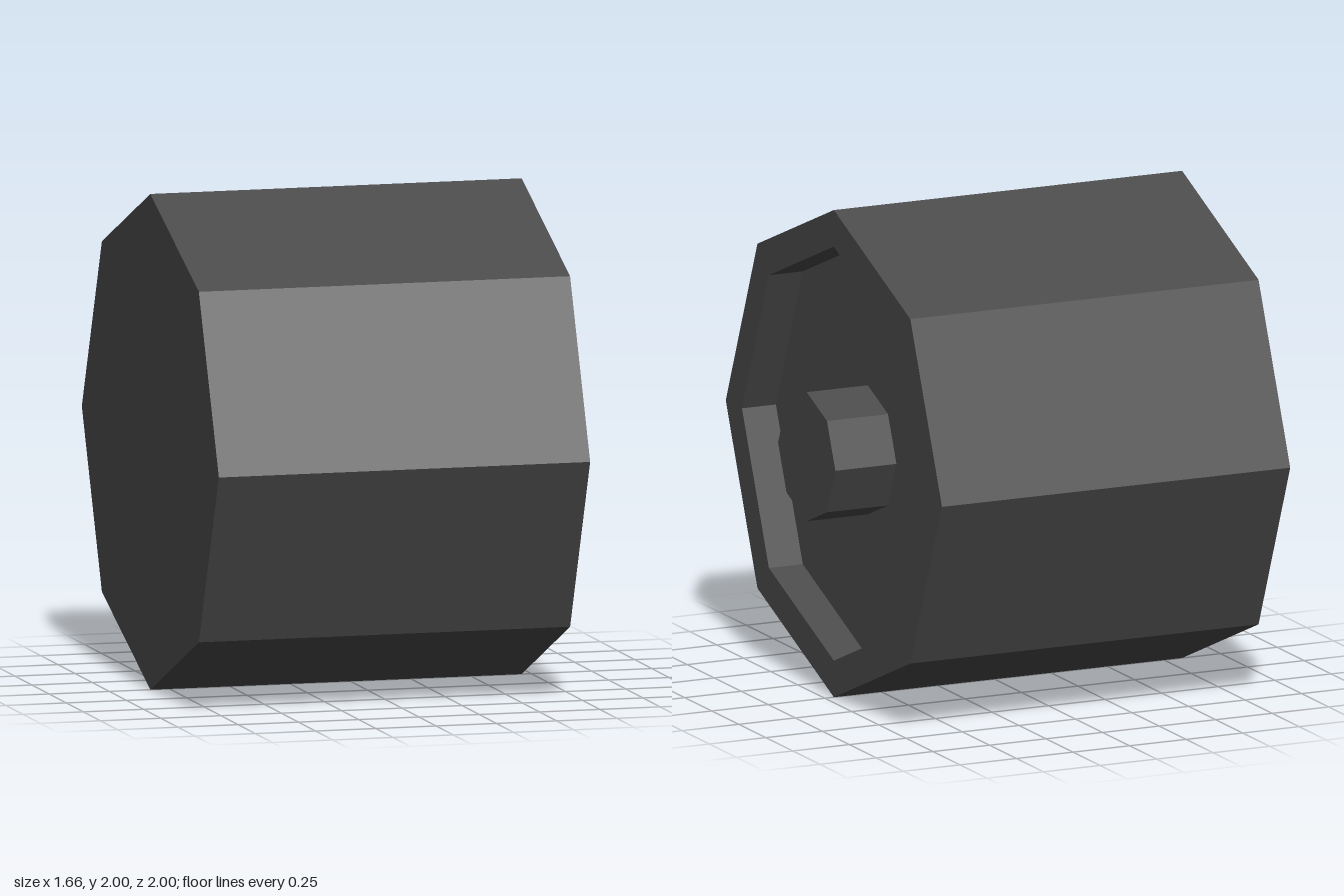
import * as THREE from 'three';

const SIDES = 8;

export function createModel() {
  const group = new THREE.Group();
  group.name = 'wheel';
  const rubber = new THREE.MeshStandardMaterial({ color: 0x4a4a4a });
  rubber.name = 'dark grey rubber';
  rubber.flatShading = true;

  // Turned part whose axis runs along x; each profile point is [radius, x]
  const turned = (name, profile) => {
    const points = profile.map(([r, x]) => new THREE.Vector2(r, x));
    const geometry = new THREE.LatheGeometry(points, SIDES);
    geometry.rotateZ(-Math.PI / 2);
    const mesh = new THREE.Mesh(geometry, rubber);
    mesh.name = name;
    mesh.position.y = 1;
    group.add(mesh);
  };

  // Closed inner face, tread, outer rim and recess wall
  turned('tyre', [[0, -0.83], [1, -0.83], [1, 0.71], [0.85, 0.71], [0.85, 0.56]]);
  // Sunken disc with its axle stub
  turned('disc', [[0.85, 0.56], [0.265, 0.56]]);
  turned('hub', [[0.265, 0.56], [0.265, 0.83], [0, 0.83]]);

  return group;
}
